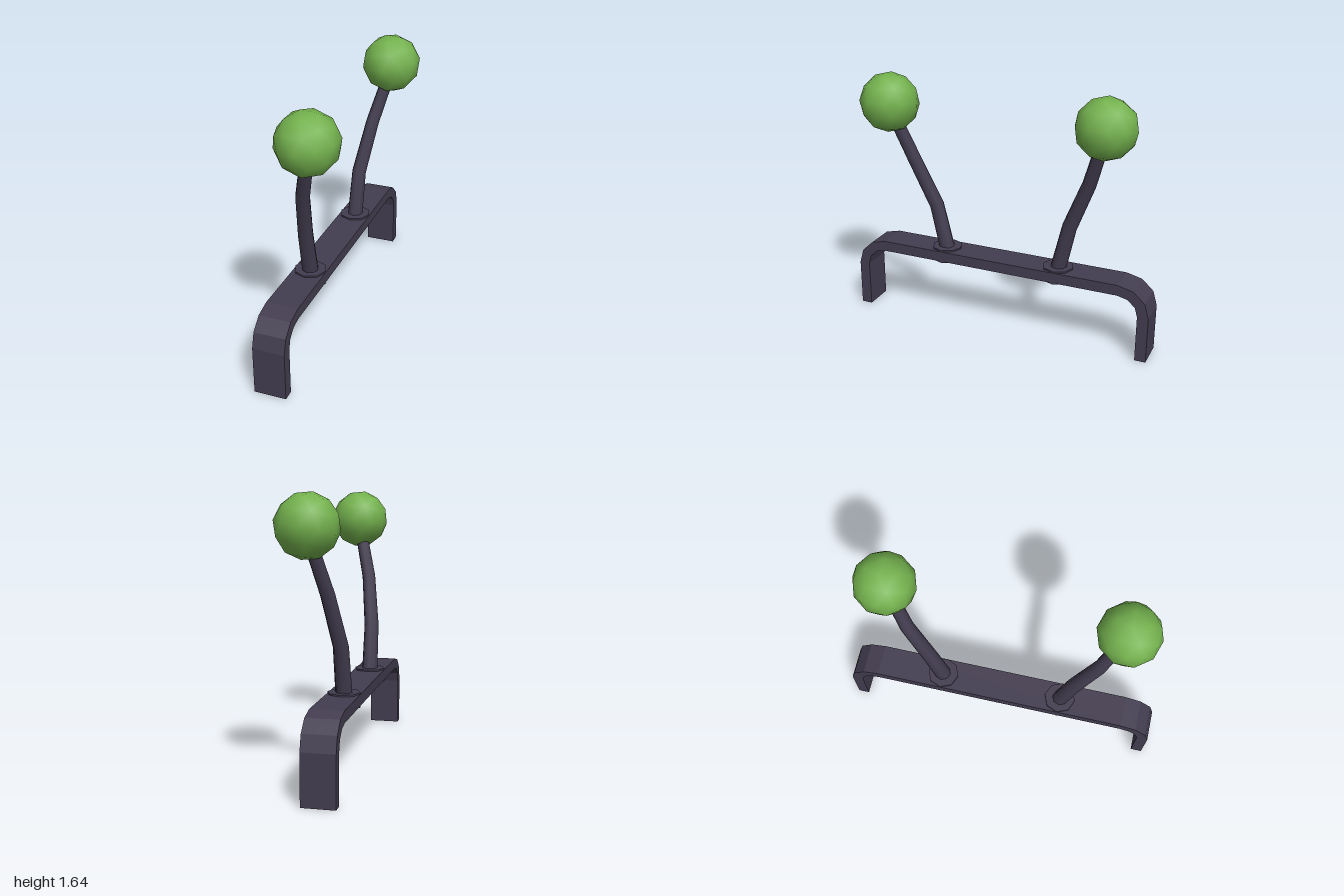
import * as THREE from 'three';

const CENTER_X = -0.108;

// Bent, tapering rod: each ring of a cylinder is moved to a path point and squared to the path
function bentRod(points, radiusStart, radiusEnd, sides) {
  const n = points.length - 1;
  const geo = new THREE.CylinderGeometry(1, 1, 1, sides, n, true);
  const pos = geo.attributes.position, nor = geo.attributes.normal;
  const up = new THREE.Vector3(0, 1, 0), v = new THREE.Vector3(), q = new THREE.Quaternion();
  for (let i = 0; i < pos.count; i++) {
    const k = Math.round((pos.getY(i) + 0.5) * n);
    const tangent = points[Math.min(k + 1, n)].clone().sub(points[Math.max(k - 1, 0)]).normalize();
    q.setFromUnitVectors(up, tangent);
    const r = THREE.MathUtils.lerp(radiusStart, radiusEnd, k / n);
    v.set(pos.getX(i) * r, 0, pos.getZ(i) * r).applyQuaternion(q).add(points[k]);
    pos.setXYZ(i, v.x, v.y, v.z);
    v.fromBufferAttribute(nor, i).applyQuaternion(q);
    nor.setXYZ(i, v.x, v.y, v.z);
  }
  return geo;
}

// Flat strap bent into two legs with rounded corners
function strapGeometry(width) {
  const half = [];
  const corner = (rx, ry, a) => [0.8 + rx * Math.cos(a), 0.3 + ry * Math.sin(a)];
  const outer = [[1, 0]], inner = [[0.93, 0]];
  for (let i = 0; i <= 3; i++) {
    const a = (i / 3) * Math.PI / 2;
    outer.push(corner(0.2, 0.185, a));
    inner.push(corner(0.13, 0.117, a));
  }
  const mirror = (list) => list.map(([x, y]) => [-x, y]);
  half.push(...outer, ...mirror(outer).reverse(), ...mirror(inner), ...inner.slice().reverse());
  const shape = new THREE.Shape(half.map(([x, y]) => new THREE.Vector2(x, y)));
  const geo = new THREE.ExtrudeGeometry(shape, { depth: width, bevelEnabled: false });
  geo.translate(0, 0, -width / 2);
  geo.rotateY(Math.PI / 2);
  return geo;
}

export function createModel() {
  const group = new THREE.Group();
  const darkMetal = new THREE.MeshStandardMaterial({ color: 0x433d50 });
  darkMetal.name = 'darkMetal';
  const green = new THREE.MeshStandardMaterial({ color: 0x74b24e });
  green.name = 'green';

  const add = (name, geo, material, x = 0, y = 0, z = 0) => {
    const mesh = new THREE.Mesh(geo, material);
    mesh.name = name;
    mesh.position.set(x, y, z);
    group.add(mesh);
  };

  add('bracket', strapGeometry(0.196), darkMetal, CENTER_X);

  const collar = new THREE.CylinderGeometry(0.098, 0.098, 0.088, 8);
  const knob = new THREE.IcosahedronGeometry(0.186, 1).rotateZ(-0.365);

  // Front and back levers mirror each other
  for (const [side, s] of [['front', 1], ['back', -1]]) {
    const path = [
      [-0.108, 0.44, 0.377], [-0.105, 0.77, 0.453], [-0.06, 1.08, 0.582], [0.015, 1.38, 0.68],
    ].map(([x, y, z]) => new THREE.Vector3(x, y, z * s));
    add(side + 'Collar', collar, darkMetal, CENTER_X, 0.451, 0.385 * s);
    add(side + 'Lever', bentRod(path, 0.051, 0.039, 8), darkMetal);
    add(side + 'Knob', knob, green, 0.025, 1.46, 0.695 * s);
  }
  return group;
}
